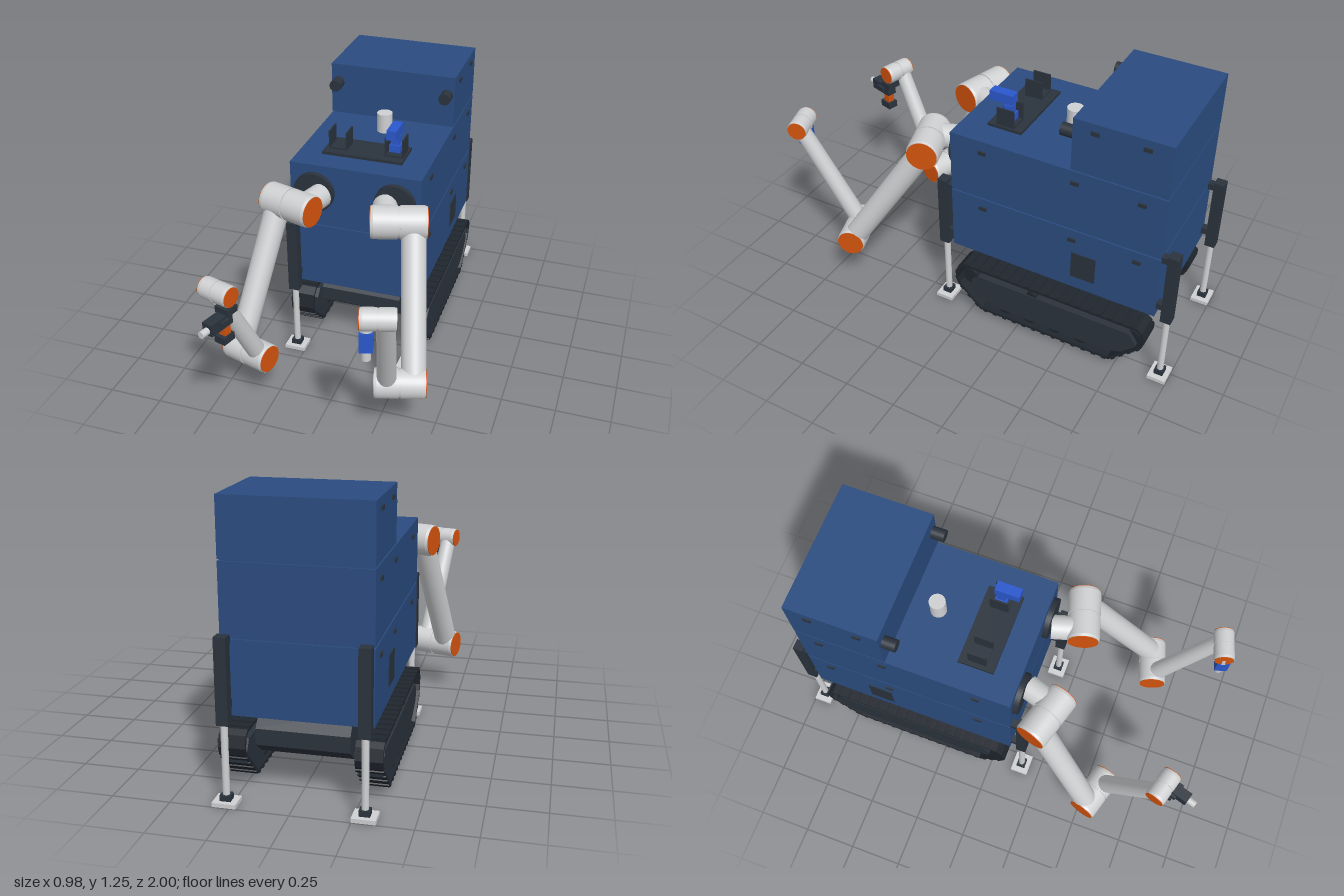
import * as THREE from 'three';

const mat = (name, color) => {
  const m = new THREE.MeshStandardMaterial({ color });
  m.name = name;
  return m;
};
const V = (x, y, z) => new THREE.Vector3(x, y, z);
const UP = V(0, 1, 0);

export function createModel() {
  const blue = mat('navy blue', 0x2b4c80);
  const dark = mat('dark slate', 0x2b333d);
  const black = mat('track black', 0x20262e);
  const grey = mat('light grey', 0xcfd0d2);
  const orange = mat('orange', 0xd4540e);
  const bright = mat('bright blue', 0x2a58cc);

  const model = new THREE.Group();
  const body = new THREE.Group();
  body.name = 'body';
  body.position.x = -0.013;
  model.add(body);

  const add = (parent, name, geo, m, x = 0, y = 0, z = 0) => {
    const mesh = new THREE.Mesh(geo, m);
    mesh.name = name;
    mesh.position.set(x, y, z);
    parent.add(mesh);
    return mesh;
  };
  const box = (parent, name, m, w, h, d, x, y, z) =>
    add(parent, name, new THREE.BoxGeometry(w, h, d), m, x, y, z);
  // Cylinder running from point a to point b
  const rod = (parent, name, m, a, b, ra, rb = ra) => {
    const dir = b.clone().sub(a);
    const mesh = add(parent, name, new THREE.CylinderGeometry(rb, ra, dir.length(), 32), m);
    mesh.position.copy(a).add(b).multiplyScalar(0.5);
    mesh.quaternion.setFromUnitVectors(UP, dir.normalize());
    return mesh;
  };
  // Side profile in (z, y) extruded across x, centred on x
  const profile = (parent, name, m, pts, width, x, hole) => {
    const toV = (list) => list.map(([z, y]) => new THREE.Vector2(-z, y));
    const shape = new THREE.Shape(toV(pts));
    if (hole) shape.holes.push(new THREE.Path(toV(hole)));
    const geo = new THREE.ExtrudeGeometry(shape, { depth: width, bevelEnabled: false });
    geo.translate(0, 0, -width / 2).rotateY(Math.PI / 2);
    return add(parent, name, geo, m, x, 0, 0);
  };

  // Stacked cabinets with narrow seams
  box(body, 'lowerCabinet', blue, 0.62, 0.32, 1.005, 0, 0.522, -0.402);
  box(body, 'lowerSeam', blue, 0.605, 0.012, 0.99, 0, 0.686, -0.402);
  box(body, 'middleCabinet', blue, 0.62, 0.303, 1.005, 0, 0.842, -0.402);
  box(body, 'upperSeam', blue, 0.605, 0.012, 0.41, 0, 0.998, -0.692);
  box(body, 'upperCabinet', blue, 0.62, 0.25, 0.428, 0, 1.126, -0.691);

  // Latches and hatch on both flanks, lamps on the upper cabinet
  for (const s of [-1, 1]) {
    for (const [y, zs] of [[0.63, [-0.06, -0.5, -0.8]], [0.935, [-0.06, -0.5, -0.8]], [1.207, [-0.576, -0.8]]])
      for (const z of zs) box(body, 'latch', dark, 0.014, 0.018, 0.036, s * 0.31, y, z);
    box(body, 'hatch', dark, 0.008, 0.135, 0.115, s * 0.31, 0.493, -0.56);
    rod(body, 'lamp', dark, V(s * 0.273, 1.16, -0.478), V(s * 0.273, 1.16, -0.415), 0.028);
  }

  // Deck plate, holders, sensor mast and beacon
  box(body, 'deckPlate', dark, 0.382, 0.014, 0.165, -0.006, 1.0, -0.1);
  for (const x of [-0.133, 0.134]) {
    box(body, 'holderBase', dark, 0.085, 0.008, 0.085, x, 1.011, -0.1);
    for (const s of [-1, 1]) box(body, 'holderSide', dark, 0.007, 0.085, 0.085, x + s * 0.041, 1.052, -0.1);
  }
  box(body, 'cameraBase', bright, 0.052, 0.036, 0.055, 0.134, 1.042, -0.1);
  box(body, 'cameraBody', bright, 0.036, 0.038, 0.04, 0.134, 1.08, -0.1);
  box(body, 'cameraNeck', bright, 0.022, 0.02, 0.03, 0.134, 1.103, -0.095);
  box(body, 'cameraHead', bright, 0.046, 0.046, 0.113, 0.134, 1.133, -0.07);
  rod(body, 'beacon', grey, V(0.002, 0.99, -0.351), V(0.002, 1.086, -0.351), 0.037);

  // Stabiliser legs at the four corners
  for (const s of [-1, 1]) for (const [z, toBody] of [[0.153, -1], [-0.956, 1]]) {
    const x = s * 0.285;
    box(body, 'legRail', dark, 0.05, 0.365, 0.048, x, 0.528, z);
    for (const y of [0.42, 0.68]) box(body, 'legBracket', dark, 0.036, 0.03, 0.04, x, y, z + toBody * 0.035);
    rod(body, 'legRod', grey, V(x, 0.03, z), V(x, 0.36, z), 0.015);
    box(body, 'legAnkle', dark, 0.046, 0.026, 0.042, x, 0.03, z);
    box(body, 'legFoot', grey, 0.1, 0.018, 0.085, x, 0.009, z);
  }

  // Undercarriage hull and cross bars
  profile(body, 'hull', dark, [[-0.1, 0.364], [0.02, 0.28], [0.02, 0.21], [-0.05, 0.155],
    [-0.76, 0.155], [-0.83, 0.21], [-0.83, 0.28], [-0.76, 0.364]], 0.395, 0);
  for (const z of [-0.12, -0.68]) box(body, 'crossBar', dark, 0.46, 0.065, 0.12, 0, 0.188, z);

  // Tracks: hollow belt, low treads, side frame and rollers
  const outer = [[0.035, 0.28], [0.066, 0.25], [0.08, 0.18], [0.066, 0.145], [-0.056, 0.028],
    [-0.726, 0.028], [-0.875, 0.175], [-0.887, 0.21], [-0.872, 0.262], [-0.845, 0.28]];
  const inner = [[0.03, 0.267], [0.054, 0.243], [0.066, 0.182], [0.055, 0.152], [-0.062, 0.041],
    [-0.72, 0.041], [-0.863, 0.182], [-0.873, 0.21], [-0.86, 0.255], [-0.84, 0.267]];
  const frame = [[-0.04, 0.225], [-0.005, 0.19], [-0.01, 0.13], [-0.135, 0.072],
    [-0.71, 0.072], [-0.84, 0.125], [-0.845, 0.17], [-0.81, 0.225]];
  for (const s of [-1, 1]) {
    const x = s * 0.283;
    profile(body, 'trackBelt', black, outer, 0.115, x, inner);
    profile(body, 'trackFrame', dark, frame, 0.1, x);
    outer.forEach(([z0, y0], i) => {
      const [z1, y1] = outer[(i + 1) % outer.length];
      const n = Math.floor(Math.hypot(z1 - z0, y1 - y0) / 0.05);
      for (let k = 0; k < n; k++) {
        const t = (k + 0.5) / n;
        const tread = box(body, 'tread', black, 0.117, 0.012, 0.02, x, y0 + (y1 - y0) * t, z0 + (z1 - z0) * t);
        tread.rotation.x = -Math.atan2(y1 - y0, z1 - z0);
      }
    });
    for (const z of [-0.18, -0.312, -0.443, -0.575])
      rod(body, 'roller', black, V(x - 0.045, 0.085, z), V(x + 0.045, 0.085, z), 0.036);
    rod(body, 'topRoller', black, V(x - 0.045, 0.215, -0.32), V(x + 0.045, 0.215, -0.32), 0.028);
    for (const z of [0.01, -0.82])
      rod(body, 'endWheel', black, V(x - 0.03, 0.19, z), V(x + 0.03, 0.19, z), 0.04);
  }

  // Arm joint: two drums with a groove, tapered rims and orange caps
  const joint = (parent, name, c, out, r, half) => {
    const g = new THREE.Group();
    g.name = name;
    parent.add(g);
    const at = (d) => c.clone().addScaledVector(out, d);
    rod(g, 'groove', grey, at(-0.01), at(0.01), r * 0.94);
    for (const s of [-1, 1]) {
      rod(g, 'drum', grey, at(s * 0.005), at(s * (half - 0.012)), r);
      rod(g, 'rim', grey, at(s * (half - 0.012)), at(s * half), r, r * 0.95);
      rod(g, 'cap', orange, at(s * (half - 0.002)), at(s * (half + 0.003)), r * 0.93);
    }
  };

  // Two arms with mirrored heading but separate poses
  const makeArm = (s, shoulder, elbow, wrist) => {
    const arm = new THREE.Group();
    arm.name = s > 0 ? 'leftArm' : 'rightArm';
    model.add(arm);
    const out = V(s * 0.958, 0, -0.287);
    const off = (p, d) => p.clone().addScaledVector(out, d);
    const mx = -0.013 + s * 0.192;
    rod(arm, 'mountDisc', dark, V(mx, 0.862, 0.09), V(mx, 0.862, 0.125), 0.096);
    const base = off(shoulder, -0.06);
    rod(arm, 'shoulderBase', grey, base.clone().add(V(-s * 0.042, 0, -0.14)), base, 0.056);
    joint(arm, 'shoulder', shoulder, out, 0.075, 0.123);
    rod(arm, 'upperArm', grey, off(shoulder, 0.064), off(elbow, 0.06), 0.056, 0.054);
    joint(arm, 'elbow', elbow, out, 0.067, 0.111);
    rod(arm, 'forearm', grey, off(elbow, -0.055), off(wrist, 0.03), 0.043, 0.038);
    joint(arm, 'wrist', wrist, out, 0.047, 0.071);
    // Tool frame under the inner half of the wrist, z pointing along the arm
    const tool = new THREE.Group();
    tool.name = 'tool';
    tool.position.copy(off(wrist, -0.045));
    tool.rotation.y = s * 0.291;
    arm.add(tool);
    return tool;
  };

  const driver = makeArm(1, V(0.239, 0.86, 0.25), V(0.36, 0.286, 0.615), V(0.345, 0.811, 0.89));
  box(driver, 'driverBody', bright, 0.055, 0.09, 0.058, 0, -0.09, 0.008);
  rod(driver, 'driverNeck', grey, V(0, -0.05, 0.004), V(0, 0, 0), 0.03);
  rod(driver, 'driverTip', grey, V(0, -0.184, 0.008), V(0, -0.13, 0.008), 0.02);

  const gripper = makeArm(-1, V(-0.265, 0.86, 0.25), V(-0.364, 0.243, 0.555), V(-0.356, 0.748, 0.83));
  box(gripper, 'toolFlange', dark, 0.07, 0.03, 0.06, 0, -0.06, 0.005);
  box(gripper, 'toolBody', dark, 0.05, 0.055, 0.125, 0, -0.098, 0.06);
  box(gripper, 'toolCrossPiece', dark, 0.075, 0.028, 0.045, 0, -0.098, 0.05);
  rod(gripper, 'toolNozzle', grey, V(0, -0.103, 0.1), V(0, -0.103, 0.16), 0.016);
  box(gripper, 'toolGrip', orange, 0.036, 0.055, 0.036, 0, -0.15, 0.025);
  box(gripper, 'toolBattery', dark, 0.054, 0.034, 0.064, 0, -0.19, 0.028);

  return model;
}
